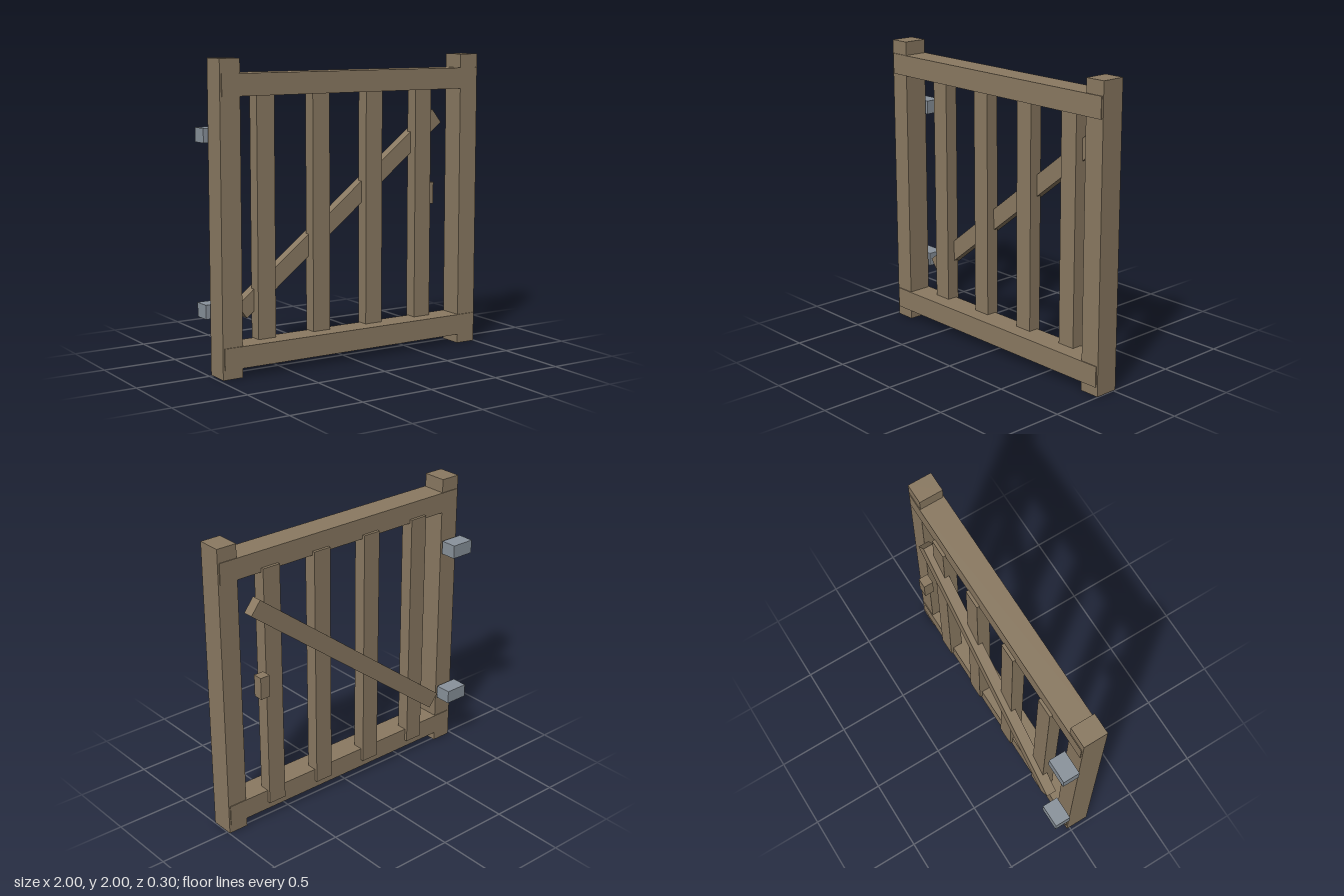
import * as THREE from 'three';

export function createModel() {
  const gate = new THREE.Group();
  gate.name = 'gate';

  const wood = new THREE.MeshStandardMaterial({ color: 0x8b7a62 });
  wood.name = 'weathered wood';
  const iron = new THREE.MeshStandardMaterial({ color: 0x8a939c });
  iron.name = 'grey iron';

  // Box spanning [min, max] on each axis
  function block(name, material, [x0, x1], [y0, y1], [z0, z1]) {
    const mesh = new THREE.Mesh(new THREE.BoxGeometry(x1 - x0, y1 - y0, z1 - z0), material);
    mesh.position.set((x0 + x1) / 2, (y0 + y1) / 2, (z0 + z1) / 2);
    mesh.name = name;
    gate.add(mesh);
    return mesh;
  }

  // Corner posts
  block('rightPost', wood, [-0.976, -0.836], [0, 2], [-0.021, 0.143]);
  block('leftPost', wood, [0.856, 0.996], [0, 2], [-0.021, 0.143]);

  // Horizontal rails, slightly proud of the posts
  block('bottomRail', wood, [-0.965, 0.985], [0.062, 0.202], [-0.026, 0.15]);
  block('topRail', wood, [-0.965, 0.985], [1.768, 1.908], [-0.026, 0.15]);

  // Upright slats
  for (const x of [-0.603, -0.192, 0.22, 0.619]) {
    block('slat', wood, [x - 0.064, x + 0.064], [0.112, 1.795], [-0.046, 0.044]);
  }

  // Diagonal brace across the back
  const brace = block('brace', wood, [-0.969, 0.969], [-0.057, 0.057], [-0.085, -0.013]);
  brace.position.x = 0.011;
  brace.position.y = 0.979;
  brace.rotation.z = Math.atan2(1.192, 1.528);

  // Latch block
  block('latch', wood, [0.715, 0.785], [0.963, 1.113], [-0.125, -0.058]);

  // Hinges behind the right post
  for (const y of [0.405, 1.52]) {
    block('hinge', iron, [-1, -0.836], [y - 0.046, y + 0.046], [-0.15, -0.037]);
  }

  return gate;
}
